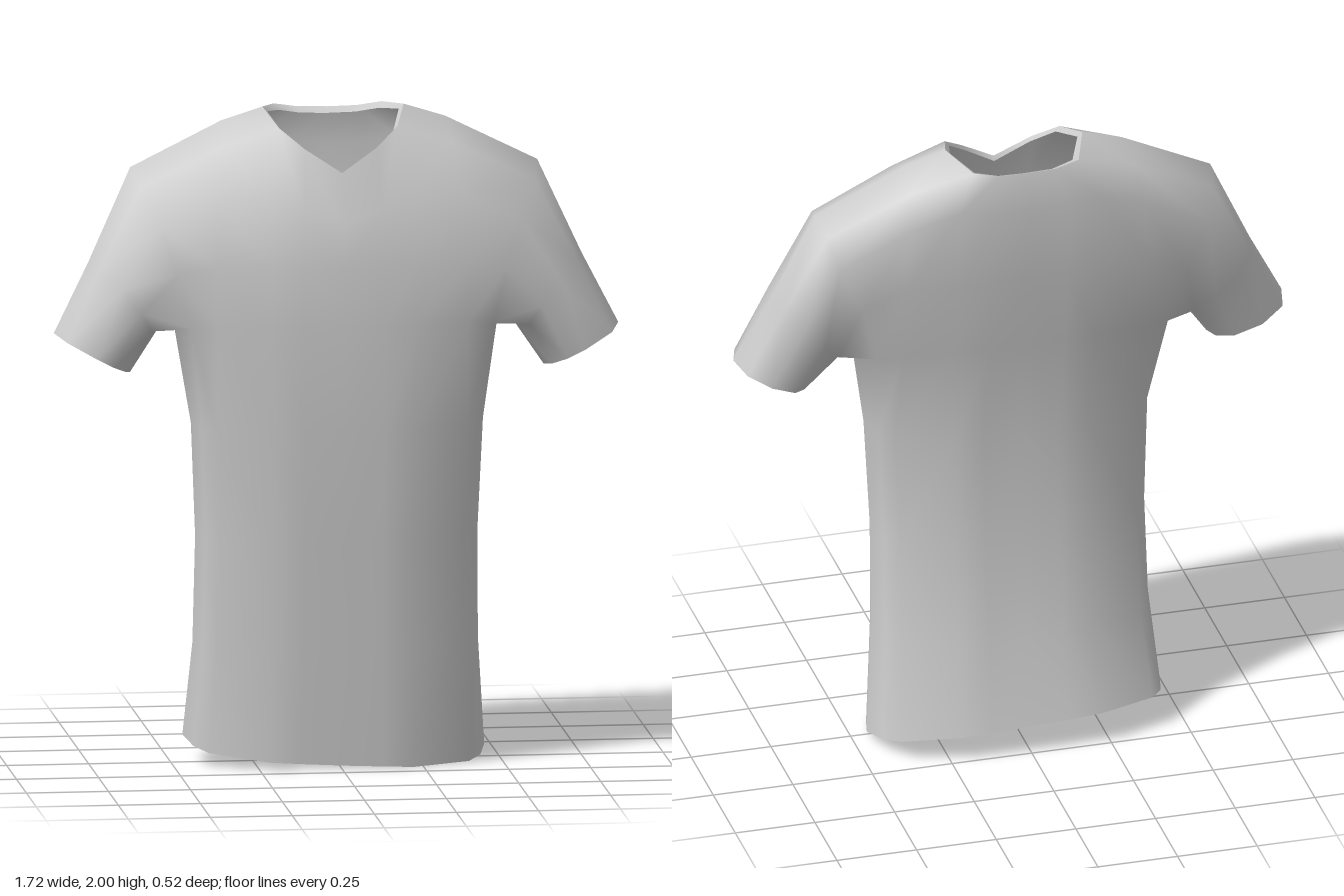
import * as THREE from 'three';
import { mergeVertices } from 'three/addons/utils/BufferGeometryUtils.js';

const material = new THREE.MeshStandardMaterial({ color: 0xcccccc, side: THREE.DoubleSide });

// Sections across the chest and along one sleeve. Each runs from the chest front,
// over the shoulder, down the back; sleeve sections end with the underarm point.
const centre = [[0, 1.37, .26], [0, 1.55, .25], [0, 1.68, .235], [0, 1.83, .185], [0, 1.97, 0],
  [0, 1.97, -.2], [0, 1.85, -.228], [0, 1.62, -.22], [0, 1.37, -.185]];
const inner = [[.12, 1.37, .258], [.12, 1.55, .247], [.12, 1.72, .225], [.11, 1.9, .15], [.1, 1.97, 0],
  [.09, 1.972, -.2], [.12, 1.86, -.228], [.12, 1.62, -.22], [.12, 1.37, -.185]];
const neckSide = [[.22, 1.37, .25], [.22, 1.55, .24], [.22, 1.76, .205], [.18, 1.955, .09], [.215, 2, -.045],
  [.165, 1.985, -.185], [.22, 1.87, -.222], [.22, 1.62, -.215], [.22, 1.37, -.18]];
const shoulder = [[.38, 1.37, .215], [.38, 1.55, .218], [.37, 1.75, .18], [.35, 1.9, .08], [.34, 1.962, -.04],
  [.35, 1.92, -.15], [.37, 1.82, -.2], [.38, 1.62, -.198], [.38, 1.37, -.16]];
const armhole = [[.46, 1.36, .18], [.5, 1.53, .195], [.55, 1.67, .165], [.6, 1.78, .08], [.62, 1.825, -.03],
  [.605, 1.79, -.12], [.58, 1.7, -.17], [.51, 1.55, -.17], [.46, 1.36, -.13], [.49, 1.33, .02]];
const midSleeve = [[.575, 1.35, .15], [.61, 1.41, .185], [.67, 1.48, .175], [.73, 1.53, .1], [.752, 1.54, 0],
  [.735, 1.53, -.08], [.68, 1.49, -.135], [.61, 1.42, -.125], [.56, 1.35, -.07], [.545, 1.335, .03]];
const cuff = [[.65, 1.22, .11], [.69, 1.24, .15], [.745, 1.27, .165], [.83, 1.315, .125], [.86, 1.33, .03],
  [.84, 1.32, -.06], [.77, 1.28, -.085], [.69, 1.24, -.06], [.645, 1.215, 0], [.63, 1.21, .05]];

// Half a waist ring from front centre round the side to back centre
const across = [0, .27, .48, .86, .95, 1, .95, .86, .48, .27, 0];
const depth = [1, .99, .97, .68, .42, 0, -.42, -.68, -.97, -.99, -1];
function waistRing([y, width, front, back, slope]) {
  const mid = (front + back) / 2, half = (front - back) / 2;
  return across.map((a, i) => [a * width, y - slope * depth[i] * half, mid + depth[i] * half]);
}
// height, half width, front z, back z, slope of the ring
const waistLevels = [
  [.055, .46, .18, -.26, .2],
  [.37, .435, .205, -.19, 0],
  [.7, .43, .225, -.155, 0],
  [1.05, .445, .25, -.145, 0],
];

// Collects faces for one side and its mirror image, then welds them smoothly
function makeMesh(name, build, adjust = (p) => p) {
  const positions = [];
  const quad = (a, b, c, d) => {
    for (const p of [a, b, c, a, c, d]) positions.push(...adjust(p));
    const m = [a, d, c, b].map(([x, y, z]) => [-x, y, z]);
    for (const i of [0, 1, 2, 0, 2, 3]) positions.push(...adjust(m[i]));
  };
  build(quad);
  let geometry = new THREE.BufferGeometry();
  geometry.setAttribute('position', new THREE.Float32BufferAttribute(positions, 3));
  geometry = mergeVertices(geometry, 1e-4);
  geometry.computeVertexNormals();
  const mesh = new THREE.Mesh(geometry, material);
  mesh.name = name;
  return mesh;
}

export function createModel() {
  const group = new THREE.Group();
  group.name = 'shirt';

  group.add(makeMesh('shirtBody', (quad) => {
    // Chest, back and shoulders, leaving the neck open
    const columns = [centre, inner, neckSide, shoulder, armhole];
    for (let c = 0; c < 4; c++) {
      const a = columns[c], b = columns[c + 1];
      for (let i = 0; i < 8; i++) {
        if (c < 2 && (i === 3 || i === 4)) continue;
        quad(a[i], b[i], b[i + 1], a[i + 1]);
      }
    }
    // Sleeves as closed tubes
    for (const [a, b] of [[armhole, midSleeve], [midSleeve, cuff]]) {
      for (let i = 0; i < 10; i++) {
        const j = (i + 1) % 10;
        quad(a[i], b[i], b[j], a[j]);
      }
    }
    // Waist, joined to the lower edge of the chest and the underarm
    const rings = waistLevels.map(waistRing);
    rings.push([...columns.map((s) => s[0]), armhole[9], ...columns.map((s) => s[8]).reverse()]);
    for (let r = 0; r < rings.length - 1; r++) {
      const p = rings[r], q = rings[r + 1];
      for (let i = 0; i < 10; i++) quad(p[i], p[i + 1], q[i + 1], q[i]);
    }
  }, ([x, y, z]) => [x, y < .2 ? y - .05 * x : y, z])); // hem hangs slightly lower on one side

  // Narrow turned-in edge around the neck
  group.add(makeMesh('neckEdge', (quad) => {
    const rim = [centre[3], inner[3], neckSide[3], neckSide[4], neckSide[5], inner[5], centre[5]];
    const lip = rim.map(([x, y, z]) => [x * .93, y - .015, z < -.1 ? z + .03 : z * .96]);
    for (let i = 0; i < 6; i++) quad(rim[i], rim[i + 1], lip[i + 1], lip[i]);
  }));

  return group;
}
